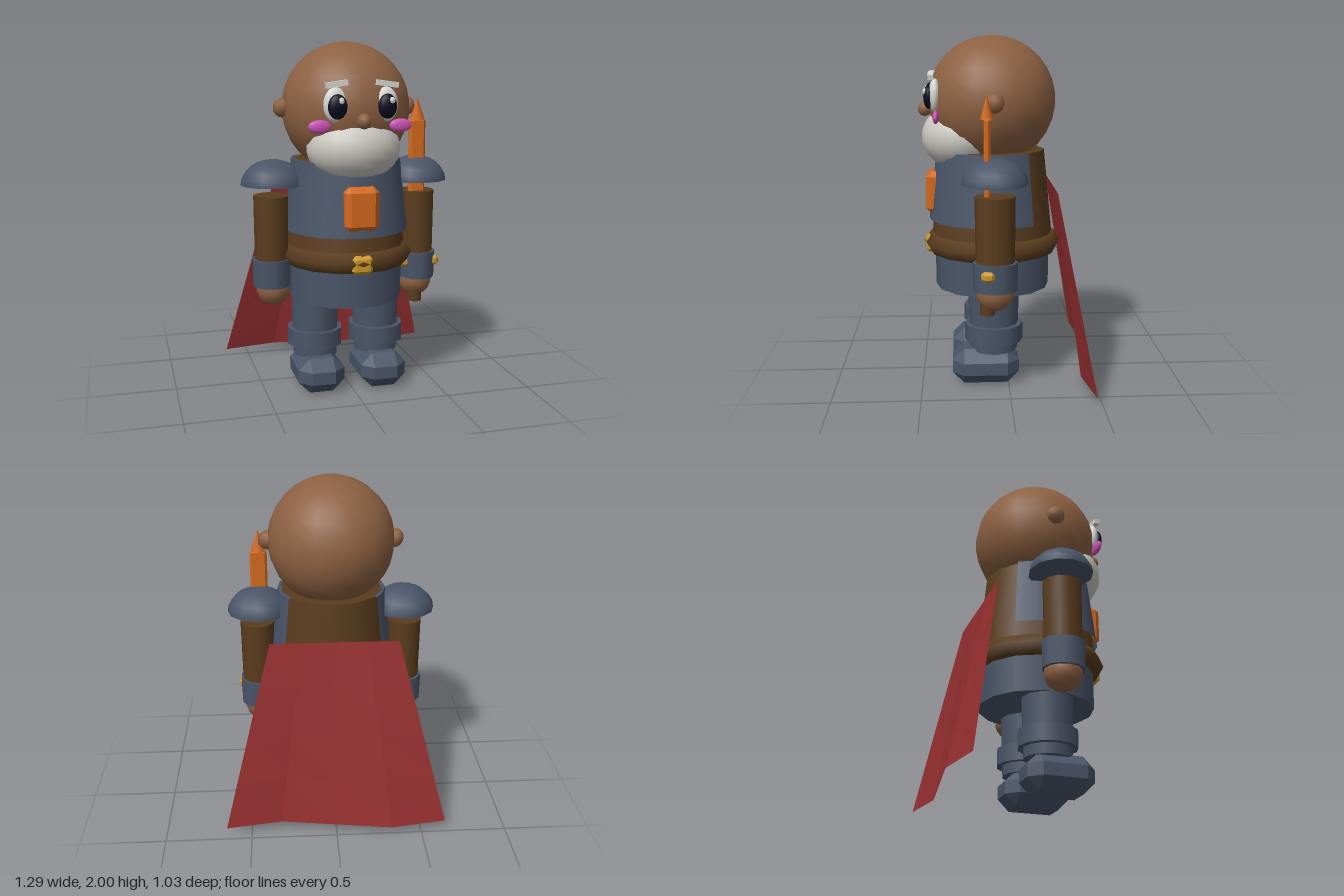
import * as THREE from 'three';
import { ConvexGeometry } from 'three/addons/geometries/ConvexGeometry.js';

const mat = (name, color, side = THREE.FrontSide) => {
  const m = new THREE.MeshStandardMaterial({ color, side });
  m.name = name;
  return m;
};

// Box with every edge and corner cut off by b
function chamferBox(w, h, d, b) {
  const pts = [];
  const [x, y, z] = [w / 2, h / 2, d / 2];
  for (const i of [-1, 1]) for (const j of [-1, 1]) for (const k of [-1, 1]) {
    pts.push(
      new THREE.Vector3(i * x, j * (y - b), k * (z - b)),
      new THREE.Vector3(i * (x - b), j * y, k * (z - b)),
      new THREE.Vector3(i * (x - b), j * (y - b), k * z));
  }
  return new ConvexGeometry(pts);
}

export function createModel() {
  const root = new THREE.Group();
  root.name = 'dwarfWarrior';
  const Z = 0.083; // depth of the body axis

  const skin = mat('skin', 0x8d6142);
  const steel = mat('steel', 0x4a5568, THREE.DoubleSide);
  const leather = mat('leather', 0x5a3c1e);
  const orange = mat('orange', 0xd2691e);
  const gold = mat('gold', 0xc8962a);
  const red = mat('capeRed', 0x962f30, THREE.DoubleSide);
  const beardGrey = mat('beardGrey', 0xcbc8c1);
  const eyeWhite = mat('eyeWhite', 0xd6d6d2);
  const pupilDark = mat('pupilDark', 0x0a0a1e);
  const pink = mat('cheekPink', 0xcc52b6);

  const add = (name, geometry, material, x, y, z, scale = [1, 1, 1]) => {
    const m = new THREE.Mesh(geometry, material);
    m.name = name;
    m.position.set(x, y, z);
    m.scale.set(...scale);
    root.add(m);
    return m;
  };
  const ball = (name, material, pos, radii, segs = 16) =>
    add(name, new THREE.SphereGeometry(1, segs, Math.max(8, segs * 0.75)), material, ...pos, radii);
  const drum = (name, material, x, z, y0, y1, r0, r1, sx = 0.97, segs = 14) =>
    add(name, new THREE.CylinderGeometry(r1, r0, y1 - y0, segs), material, x, (y0 + y1) / 2, z, [sx, 1, 1]);

  // Head and face
  ball('head', skin, [0, 1.63, Z], [0.366, 0.37, 0.37], 20);
  ball('nose', skin, [0, 1.58, 0.472], [0.04, 0.042, 0.04], 10);
  ball('beard', beardGrey, [0, 1.42, 0.25], [0.265, 0.2, 0.242], 20);

  // Torso, belt and skirt
  drum('torso', leather, 0, Z, 0.78, 1.345, 0.36, 0.305);
  const half = 2.22;
  add('breastplate', new THREE.CylinderGeometry(0.324, 0.37, 0.405, 14, 1, true, -half, half * 2),
    steel, 0, 1.1425, Z, [0.97, 1, 1]);
  const rim = add('breastplateRim', new THREE.RingGeometry(0.29, 0.324, 14, 1, -Math.PI / 2 - half, half * 2),
    steel, 0, 1.344, Z, [0.97, 1, 1]);
  rim.rotation.x = -Math.PI / 2;
  const belt = add('belt', new THREE.TorusGeometry(0.335, 0.065, 6, 16), leather, 0, 0.8, Z, [0.965, 1, 1]);
  belt.rotation.x = Math.PI / 2;
  drum('skirt', steel, 0, Z, 0.535, 0.78, 0.335, 0.338, 0.975);
  add('buckle', chamferBox(0.12, 0.105, 0.1, 0.02), gold, 0, 0.792, 0.425);
  add('pendant', chamferBox(0.195, 0.245, 0.1, 0.03), orange, 0, 1.1, 0.42);

  // Mirrored parts
  for (const s of [-1, 1]) {
    const side = s > 0 ? 'left' : 'right';
    const n = part => side + part;

    ball(n('Ear'), skin, [s * 0.367, 1.635, Z], [0.052, 0.055, 0.055], 8);
    ball(n('Eye'), eyeWhite, [s * 0.14, 1.665, 0.408], [0.068, 0.095, 0.035]);
    ball(n('Pupil'), pupilDark, [s * 0.138, 1.657, 0.445], [0.053, 0.067, 0.028]);
    ball(n('EyeGlint'), eyeWhite, [s * 0.14 + 0.018, 1.688, 0.464], [0.017, 0.019, 0.013], 8);
    const brow = add(n('Brow'), new THREE.BoxGeometry(0.12, 0.03, 0.032), eyeWhite, s * 0.14, 1.776, 0.43);
    brow.rotation.z = -s * 0.14;
    ball(n('Cheek'), pink, [s * 0.226, 1.55, 0.403], [0.065, 0.037, 0.018], 12);

    // Shoulder dome, closed underneath
    add(n('Shoulder'), new THREE.SphereGeometry(0.185, 12, 6, 0, Math.PI * 2, 0, Math.PI / 2),
      steel, s * 0.425, 1.203, Z, [1, 0.77, 0.99]);
    const under = add(n('ShoulderUnderside'), new THREE.CircleGeometry(0.185, 12), steel, s * 0.425, 1.204, Z);
    under.rotation.x = Math.PI / 2;

    // Arm
    drum(n('Arm'), leather, s * 0.438, Z, 0.66, 1.14, 0.107, 0.112, 0.9, 12);
    drum(n('Gauntlet'), steel, s * 0.44, Z, 0.615, 0.775, 0.122, 0.126, 0.88, 10);
    ball(n('Hand'), skin, [s * 0.43, 0.597, Z], [0.1, 0.102, 0.108], 12);

    // Leg and boot
    drum(n('Leg'), steel, s * 0.184, Z, 0.19, 0.56, 0.136, 0.149, 0.955, 12);
    drum(n('LegCuff'), steel, s * 0.186, Z, 0.25, 0.35, 0.169, 0.169, 0.96, 12);
    add(n('Boot'), chamferBox(0.27, 0.206, 0.385, 0.067), steel, s * 0.186, 0.103, 0.132);
  }

  // Sword held in the left hand
  const sx = 0.421, sz = 0.125;
  add('swordBlade', chamferBox(0.1, 0.83, 0.034, 0.013), orange, sx, 1.148, sz);
  add('swordTip', new THREE.ConeGeometry(0.052, 0.13, 6), orange, sx, 1.62, sz, [0.9, 1, 0.72]);
  add('swordGuard', chamferBox(0.28, 0.06, 0.075, 0.018), gold, sx, 0.716, sz);
  add('swordGrip', new THREE.CylinderGeometry(0.043, 0.043, 0.25, 8), leather, sx, 0.597, sz);

  // Cape: flares and waves more toward the hem
  const capeGeo = new THREE.PlaneGeometry(2, 1, 4, 4);
  const p = capeGeo.attributes.position;
  for (let i = 0; i < p.count; i++) {
    const u = p.getX(i), t = 0.5 - p.getY(i);
    p.setXYZ(i, u * (0.366 + 0.279 * t), 1.14 - 1.09 * t,
      -0.267 - 0.2 * t + 0.049 * t * Math.sin(u * Math.PI));
  }
  const flatCape = capeGeo.toNonIndexed();
  flatCape.computeVertexNormals();
  add('cape', flatCape, red, 0, 0, 0);

  return root;
}
